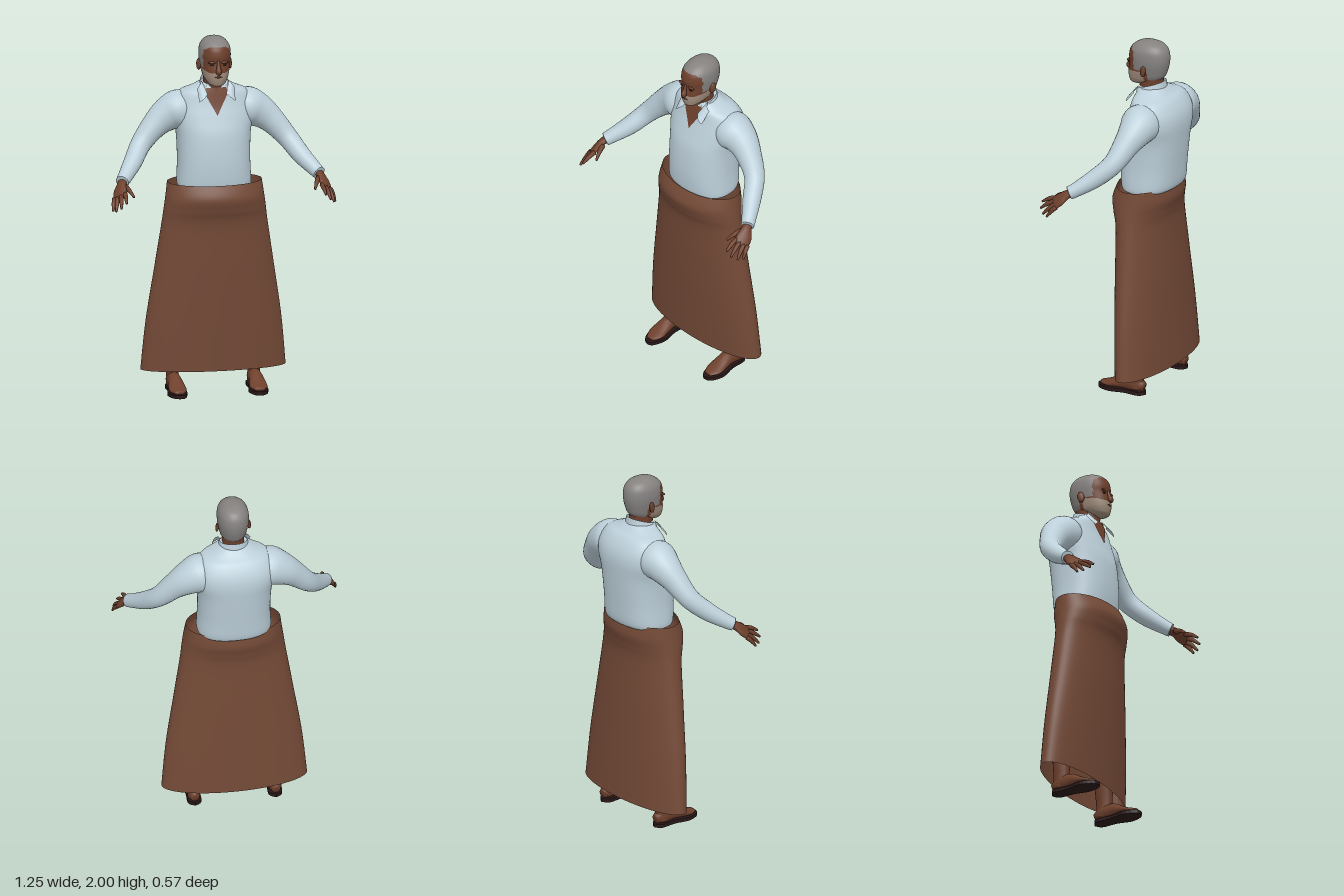
import * as THREE from 'three';

const mat = (name, color, side = THREE.FrontSide) => {
  const m = new THREE.MeshStandardMaterial({ color, side });
  m.name = name;
  return m;
};

// Interpolate rows of numbers smoothly into n + 1 rows
function resample(rows, n) {
  const out = [];
  for (let i = 0; i <= n; i++) {
    const t = (i / n) * (rows.length - 1);
    const k = Math.min(Math.floor(t), rows.length - 2), f = t - k;
    const p = rows[Math.max(k - 1, 0)], q = rows[k], r = rows[k + 1], s = rows[Math.min(k + 2, rows.length - 1)];
    out.push(q.map((b, j) => b + 0.5 * f * (r[j] - p[j] + f * (2 * p[j] - 5 * b + 4 * r[j] - s[j] + f * (3 * (b - r[j]) + s[j] - p[j])))));
  }
  return out;
}

// Skin closed rings of points; pick(centroid) gives a material index per quad
function skinRings(rings, caps = true, pick = () => 0) {
  const n = rings[0].length, pts = rings.flat(), groups = [[], [], []];
  const mid = new THREE.Vector3();
  for (let i = 0; i < rings.length - 1; i++) {
    for (let j = 0; j < n; j++) {
      const a = i * n + j, b = i * n + (j + 1) % n, c = b + n, d = a + n;
      mid.copy(pts[a]).add(pts[b]).add(pts[c]).add(pts[d]).divideScalar(4);
      groups[pick(mid)].push(a, b, c, a, c, d);
    }
  }
  if (caps) {
    for (const end of [0, rings.length - 1]) {
      const centre = rings[end].reduce((s, p) => s.add(p), new THREE.Vector3()).divideScalar(n);
      const k = pts.push(centre) - 1, o = end * n;
      for (let j = 0; j < n; j++) {
        const a = o + j, b = o + (j + 1) % n;
        groups[pick(centre)].push(...(end ? [a, b, k] : [b, a, k]));
      }
    }
  }
  const g = new THREE.BufferGeometry().setFromPoints(pts);
  g.setIndex(groups.flat());
  let start = 0;
  groups.forEach((ix, m) => { if (ix.length) g.addGroup(start, ix.length, m); start += ix.length; });
  g.computeVertexNormals();
  return g;
}

// Upright body from rows [y, halfWidth, zFront, zBack]
function upright(rows, { n = 40, seg = 48, power = 2, caps = true, pick, x = 0 } = {}) {
  const sp = (v) => Math.sign(v) * Math.abs(v) ** (2 / power);
  const rings = resample(rows, n).map(([y, w, f, b]) => Array.from({ length: seg }, (_, j) => {
    const a = (j / seg) * Math.PI * 2;
    return new THREE.Vector3(x + w * sp(Math.sin(a)), y, (f + b) / 2 + (f - b) / 2 * sp(Math.cos(a)));
  }));
  return skinRings(rings, caps, pick);
}

// Limb from rows [x, y, z, radiusAcross, radiusThick], mirrored by s
function limb(rows, s, across = [0, 0, 1], n = 16, seg = 16) {
  const list = resample(rows, n);
  const at = (r) => new THREE.Vector3(s * r[0], r[1], r[2]);
  const rings = list.map((r, i) => {
    const d = at(list[Math.min(i + 1, n)]).sub(at(list[Math.max(i - 1, 0)])).normalize();
    const u = new THREE.Vector3(s * across[0], across[1], across[2]);
    u.addScaledVector(d, -u.dot(d)).normalize();
    const v = d.clone().cross(u);
    return Array.from({ length: seg }, (_, j) => {
      const a = (j / seg) * Math.PI * 2;
      return at(r).addScaledVector(u, r[3] * Math.cos(a)).addScaledVector(v, (r[4] ?? r[3]) * Math.sin(a));
    });
  });
  return skinRings(rings);
}

// Open sheet from f(u, v) returning [x, y, z]
function sheet(f, nu, nv) {
  const g = new THREE.PlaneGeometry(1, 1, nu, nv), p = g.attributes.position;
  for (let i = 0; i < p.count; i++) p.setXYZ(i, ...f(p.getX(i) + 0.5, p.getY(i) + 0.5));
  g.computeVertexNormals();
  return g;
}

export function createModel() {
  const root = new THREE.Group();
  const shirt = mat('shirt cloth', 0xbdd0da, THREE.DoubleSide), skirt = mat('skirt cloth', 0x744a37, THREE.DoubleSide);
  const skin = mat('skin', 0x6e402c), hair = mat('grey hair', 0x858280), beard = mat('beard', 0xa08d7c);
  const dark = mat('dark leather', 0x2a1819);
  const add = (name, geo, material, parent = root) => {
    const m = new THREE.Mesh(geo, material);
    m.name = name;
    parent.add(m);
    return m;
  };

  // Long flared wrap skirt, open at both ends
  add('skirt', upright([
    [0.12, 0.405, 0.005, -0.245], [0.4, 0.378, 0.025, -0.235], [0.7, 0.333, 0.045, -0.223], [0.95, 0.295, 0.06, -0.212],
    [1.04, 0.283, 0.085, -0.222], [1.11, 0.273, 0.1, -0.238], [1.185, 0.263, 0.07, -0.228],
  ], { seg: 64, caps: false }), skirt);

  // Shirt body
  const torso = [
    [1.155, 0.195, 0.04, -0.215], [1.18, 0.205, 0.055, -0.25], [1.3, 0.2, 0.062, -0.265], [1.45, 0.205, 0.05, -0.28],
    [1.55, 0.225, 0.022, -0.287], [1.62, 0.22, 0, -0.275], [1.68, 0.19, -0.015, -0.24], [1.71, 0.13, -0.022, -0.2],
    [1.74, 0.075, -0.03, -0.17],
  ];
  add('shirtBody', upright(torso, { power: 2.4, n: 48, seg: 64 }), shirt);

  // Front surface of the shirt at a given x and y
  const fine = resample(torso, 200);
  const frontZ = (x, y) => {
    const [, w, f, b] = fine.find((r) => r[0] >= y);
    return (f + b) / 2 + (f - b) / 2 * Math.max(0, 1 - Math.abs(x / w) ** 2.4) ** (1 / 2.4);
  };
  // Open V neck showing the chest
  add('openNeck', sheet((u, v) => {
    const y = 1.57 + 0.15 * v, x = (u - 0.5) * 0.13 * Math.min(1, v * 1.25);
    return [x, y, frontZ(x, y) + 0.005];
  }, 10, 14), skin);
  // Collar band, open at the front and higher at the back
  add('collarBand', sheet((u, v) => {
    const a = 0.75 + u * (Math.PI * 2 - 1.5), c = Math.cos(a);
    return [(0.088 - 0.012 * v) * Math.sin(a), 1.715 - 0.015 * c + v * (0.035 - 0.012 * c), -0.085 + (0.088 - 0.006 * v) * c];
  }, 32, 3), shirt);

  for (const s of [1, -1]) {
    const side = new THREE.Group();
    side.name = s > 0 ? 'leftSide' : 'rightSide';
    root.add(side);

    // Folded collar flap
    const flap = [[0.076, 1.755, -0.055], [0.052, 1.69, 0.004], [0.105, 1.715, -0.035], [0.1, 1.65, 0.02]];
    add('collarFlap', sheet((u, v) => [0, 1, 2].map((k) => {
      const e = (1 - u) * ((1 - v) * flap[1][k] + v * flap[0][k]) + u * ((1 - v) * flap[3][k] + v * flap[2][k]);
      return k ? e + (k === 2 ? 0.012 * Math.sin(Math.PI * u) : 0) : s * e;
    }), 5, 5), shirt, side);

    // Sleeve from shoulder to wrist
    add('sleeve', limb([
      [0.11, 1.59, -0.13, 0.085], [0.19, 1.58, -0.13, 0.11], [0.26, 1.55, -0.13, 0.093], [0.33, 1.495, -0.115, 0.072],
      [0.41, 1.405, -0.08, 0.057], [0.47, 1.325, 0, 0.051], [0.53, 1.263, 0.085, 0.04], [0.55, 1.245, 0.115, 0.037],
    ], s, [0, 0, 1], 32, 24), shirt, side);

    // Hand with palm, four fingers and a thumb
    const across = [0.06, -0.035, -0.05];
    add('palm', limb([
      [0.54, 1.25, 0.095, 0.026, 0.022], [0.557, 1.233, 0.13, 0.03, 0.02], [0.57, 1.205, 0.16, 0.043, 0.018],
      [0.578, 1.18, 0.19, 0.042, 0.014], [0.58, 1.17, 0.2, 0.032, 0.008],
    ], s, across), skin, side);
    [
      [0.549, 1.2, 0.2, 0.556, 1.163, 0.283], [0.57, 1.187, 0.195, 0.584, 1.135, 0.278], [0.589, 1.175, 0.184, 0.608, 1.113, 0.25],
      [0.603, 1.167, 0.168, 0.62, 1.108, 0.218], [0.538, 1.225, 0.15, 0.505, 1.185, 0.232],
    ].forEach(([x, y, z, X, Y, Z], i) => add(i < 4 ? 'finger' : 'thumb', limb([
      [x, y, z, i < 4 ? 0.013 : 0.017], [(x + X) / 2, (y + Y) / 2 + 0.006, (z + Z) / 2, 0.012], [X, Y, Z, 0.006],
    ], s, across, 6, 8), skin, side));

    // Leg, foot and sandal sole
    add('leg', limb([
      [0.226, 0.03, -0.125, 0.045, 0.036], [0.228, 0.1, -0.12, 0.046, 0.034], [0.225, 0.2, -0.12, 0.052, 0.042],
      [0.21, 0.4, -0.12, 0.06, 0.055], [0.17, 0.85, -0.1, 0.075, 0.075],
    ], s), skin, side);
    add('foot', limb([
      [0.225, 0.045, -0.172, 0.022, 0.024], [0.226, 0.055, -0.13, 0.036, 0.045], [0.226, 0.06, -0.06, 0.038, 0.045],
      [0.226, 0.045, 0, 0.046, 0.03], [0.225, 0.033, 0.05, 0.048, 0.018], [0.222, 0.028, 0.095, 0.026, 0.01],
    ], s, [1, 0, 0]), skin, side);
    const outline = new THREE.Shape().setFromPoints(new THREE.SplineCurve([
      [0.225, 0.18], [0.262, 0.15], [0.262, 0.06], [0.28, -0.03], [0.252, -0.105], [0.2, -0.11], [0.172, -0.03], [0.188, 0.06], [0.188, 0.15], [0.225, 0.18],
    ].map(([x, y]) => new THREE.Vector2(s * x, y))).getPoints(36));
    const sole = new THREE.ExtrudeGeometry(outline, { depth: 0.02, bevelEnabled: false });
    add('sandalSole', sole.rotateX(-Math.PI / 2), dark, side);

    // Ear, eye and brow
    const ear = add('ear', new THREE.SphereGeometry(1, 14, 10), skin, side);
    ear.scale.set(0.01, 0.032, 0.02);
    ear.position.set(s * 0.088, 1.843, -0.08);
    ear.rotation.set(-0.2, s * -0.3, 0);
    const eye = add('eye', new THREE.SphereGeometry(1, 12, 8), dark, side);
    eye.scale.set(0.013, 0.004, 0.004);
    eye.position.set(s * 0.034, 1.862, 0.038);
    const brow = add('brow', new THREE.SphereGeometry(1, 12, 8), skin, side);
    brow.scale.set(0.024, 0.007, 0.008);
    brow.position.set(s * 0.034, 1.877, 0.038);
  }

  // Neck
  add('neck', upright([[1.62, 0.068, -0.02, -0.16], [1.72, 0.06, -0.018, -0.15], [1.82, 0.062, -0.01, -0.16]], { n: 10, seg: 32 }), skin);

  // Head with hair and beard as surface regions
  const region = ({ x, y, z }) => {
    const ax = Math.abs(x);
    if (y > 1.957 - (ax > 0.045 ? (ax - 0.045) * 0.6 : 0)) return 1;
    if (z < -0.012 && y > 1.84) return 1;
    if (z < -0.098 && y > 1.785) return 1;
    return y < 1.818 + Math.max(0, ax - 0.05) * 0.5 && z > -0.075 ? 2 : 0;
  };
  add('head', upright([
    [1.737, 0.018, 0.032, -0.01], [1.75, 0.045, 0.044, -0.07], [1.775, 0.064, 0.051, -0.135], [1.8, 0.073, 0.053, -0.165],
    [1.83, 0.079, 0.05, -0.178], [1.87, 0.085, 0.044, -0.188], [1.91, 0.087, 0.046, -0.191], [1.95, 0.081, 0.035, -0.183],
    [1.98, 0.06, 0.003, -0.158], [1.995, 0.032, -0.035, -0.118], [2, 0.004, -0.072, -0.08],
  ], { n: 80, seg: 80, power: 2.15, pick: region }), [skin, hair, beard]);

  // Nose and lips
  add('nose', limb([
    [0, 1.885, 0.04, 0.008], [0, 1.85, 0.05, 0.011], [0, 1.828, 0.058, 0.017], [0, 1.815, 0.053, 0.012],
  ], 1, [1, 0, 0], 10, 12), skin);
  const lips = add('lips', new THREE.SphereGeometry(1, 12, 8), skin);
  lips.scale.set(0.021, 0.005, 0.006);
  lips.position.set(0, 1.796, 0.051);
  return root;
}
